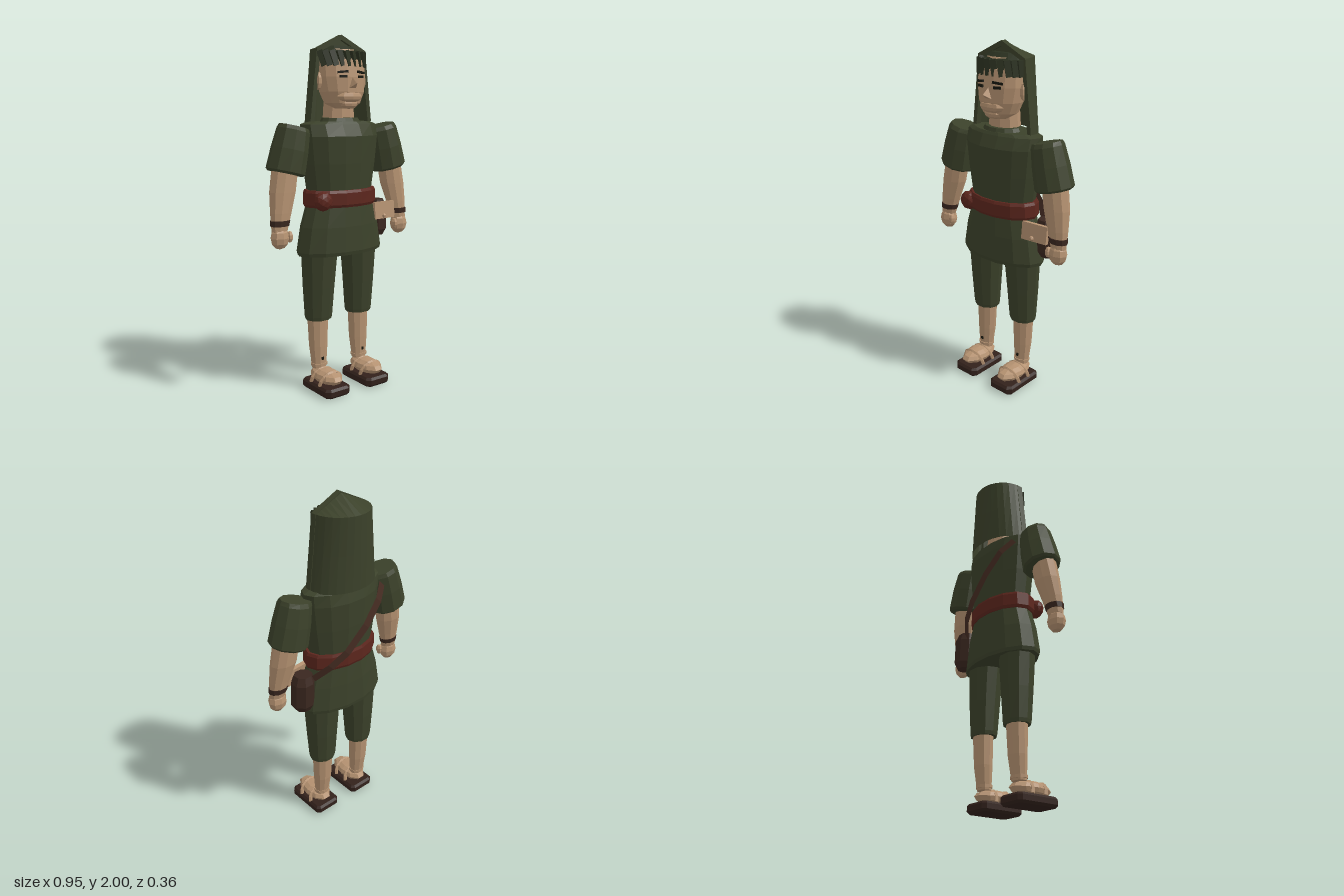
import * as THREE from 'three';

const paint = (name, color, side = THREE.FrontSide) => {
  const m = new THREE.MeshStandardMaterial({ color, side });
  m.name = name;
  return m;
};

export function createModel() {
  const green = paint('cloth green', 0x3b412a, THREE.DoubleSide);
  const hairGreen = paint('dark green', 0x2b3120);
  const skin = paint('skin', 0xb59271);
  const red = paint('sash red', 0x5c261d);
  const leather = paint('dark leather', 0x3a271f);
  const strapBrown = paint('strap brown', 0x452c22, THREE.DoubleSide);
  const soleBrown = paint('sole brown', 0x32211b);
  const black = paint('black', 0x17170f);

  const model = new THREE.Group();
  model.name = 'villager';

  // Faceted mesh: split faces so every facet has its own normal
  function add(name, geo, mat, pos = [0, 0, 0], rot = [0, 0, 0], scale = [1, 1, 1]) {
    const flat = geo.index ? geo.toNonIndexed() : geo;
    flat.computeVertexNormals();
    const mesh = new THREE.Mesh(flat, mat);
    mesh.name = name;
    mesh.position.set(...pos);
    mesh.rotation.set(...rot);
    mesh.scale.set(...scale);
    model.add(mesh);
    return mesh;
  }

  // Surface through rows of points; closed rows wrap around
  function skinRows(rows, closed, caps = false) {
    const n = rows[0].length, pos = rows.flat(2), idx = [];
    const cols = closed ? n : n - 1;
    for (let i = 0; i < rows.length - 1; i++) {
      for (let j = 0; j < cols; j++) {
        const k = (j + 1) % n, a = i * n + j, b = i * n + k, c = b + n, d = a + n;
        idx.push(a, b, c, a, c, d);
      }
    }
    if (caps) {
      const top = (rows.length - 1) * n;
      for (let j = 1; j < n - 1; j++) idx.push(0, j + 1, j, top, top + j, top + j + 1);
    }
    const g = new THREE.BufferGeometry();
    g.setAttribute('position', new THREE.Float32BufferAttribute(pos, 3));
    g.setIndex(idx);
    return g;
  }

  // Oval rings from bottom to top: [y, half width, front z, back z, centre x]
  function loft(rings, n = 12) {
    return skinRows(rings.map(([y, rx, zf, zb, cx = 0]) =>
      Array.from({ length: n }, (_, j) => {
        const t = (j + 0.5) / n * Math.PI * 2;
        return [cx + rx * Math.sin(t) * 1.02, y, (zf + zb) / 2 + (zf - zb) / 2 * Math.cos(t) * 1.02];
      })), true, true);
  }

  // Tunic, collar and sash
  add('tunic', loft([
    [0.79, 0.27, 0.115, -0.162], [0.81, 0.275, 0.12, -0.165], [0.95, 0.25, 0.113, -0.158],
    [1.06, 0.215, 0.103, -0.148], [1.15, 0.205, 0.1, -0.148], [1.3, 0.228, 0.11, -0.158],
    [1.45, 0.245, 0.115, -0.163], [1.515, 0.245, 0.085, -0.148], [1.53, 0.2, 0.075, -0.13],
  ], 14), green);
  add('collar', loft([[1.52, 0.125, 0.078, -0.11], [1.55, 0.108, 0.065, -0.1]], 14), green);
  add('sash', loft([[1.06, 0.222, 0.11, -0.152], [1.075, 0.23, 0.118, -0.158],
    [1.14, 0.228, 0.118, -0.158], [1.155, 0.22, 0.11, -0.152]], 14), red);
  add('sashKnot', new THREE.IcosahedronGeometry(0.055, 1), red, [-0.18, 1.1, 0.075], [0, 0, 0], [1, 1, 0.75]);

  // Neck and head
  add('neck', loft([[1.5, 0.095, 0.045, -0.11], [1.68, 0.085, 0.04, -0.1]], 10), skin);
  add('head', loft([
    [1.6, 0.06, 0.07, -0.04], [1.63, 0.105, 0.088, -0.08], [1.69, 0.132, 0.1, -0.1],
    [1.77, 0.146, 0.1, -0.12], [1.86, 0.143, 0.088, -0.12], [1.92, 0.1, 0.05, -0.09],
  ], 14), skin);
  add('mouth', new THREE.SphereGeometry(1, 8, 6), skin, [0, 1.665, 0.075], [0, 0, 0], [0.085, 0.034, 0.034]);
  add('chin', new THREE.SphereGeometry(1, 8, 6), skin, [0, 1.628, 0.065], [0, 0, 0], [0.06, 0.03, 0.03]);
  add('nose', skinRows([
    [[-0.027, 1.705, 0.09], [0.027, 1.705, 0.09], [0, 1.775, 0.09]],
    [[-0.003, 1.733, 0.138], [0.003, 1.733, 0.138], [0, 1.738, 0.138]],
  ], true, true), skin);

  // Cap of hair with a slanted fringe
  add('hairCap', loft([[1.85, 0.152, 0.082, -0.13], [1.9, 0.148, 0.07, -0.13], [1.94, 0.09, 0.02, -0.09]], 14), hairGreen);
  for (let i = 0; i < 10; i++) {
    const t = (i - 4.5) / 4.5 * 1.25;
    add('fringeLock', new THREE.BoxGeometry(0.034, 0.085, 0.03), hairGreen,
      [0.145 * Math.sin(t), 1.868, -0.025 + 0.1 * Math.cos(t)], [-0.15, t * 0.8 + 0.35, 0.25]);
  }

  // Hood cloth: back curtain, roof rising to a gable, and front border
  const hoodArc = (y, rx, zb) => Array.from({ length: 15 }, (_, j) => {
    const t = j / 14 * Math.PI;
    return [rx * Math.cos(t), y(rx * Math.cos(t)), -0.02 + (zb + 0.02) * Math.sin(t)];
  });
  const rim = hoodArc(() => 1.92, 0.165, -0.182);
  add('hoodCurtain', skinRows([hoodArc(() => 1.52, 0.21, -0.182),
    hoodArc(() => 1.72, 0.187, -0.182), rim], false), green);
  add('hoodRoof', skinRows([rim, hoodArc(x => 2 - Math.abs(x) * 0.485, 0.165, -0.02)], false), green);
  const poly = pts => new THREE.Shape(pts.map(p => new THREE.Vector2(...p)));
  add('hoodBorder', new THREE.ExtrudeGeometry(poly([
    [-0.21, 1.53], [-0.185, 1.53], [-0.142, 1.905], [0, 1.972], [0.142, 1.905], [0.185, 1.53],
    [0.21, 1.53], [0.165, 1.92], [0, 2], [-0.165, 1.92],
  ]), { depth: 0.035, bevelEnabled: false }), green, [0, 0, -0.035]);
  add('hoodGable', new THREE.ShapeGeometry(poly([[-0.15, 1.9], [0.15, 1.9], [0, 1.985]])), green, [0, 0, -0.018]);

  // Paired parts
  for (const s of [-1, 1]) {
    // Face details
    add('eye', new THREE.BoxGeometry(0.042, 0.014, 0.009), black, [s * 0.058, 1.772, 0.096], [0, s * 0.3, 0]);
    add('eyebrow', new THREE.BoxGeometry(0.06, 0.012, 0.009), black, [s * 0.06, 1.796, 0.094], [0, s * 0.3, s * -0.1]);
    add('ear', new THREE.SphereGeometry(1, 6, 5), skin, [s * 0.15, 1.75, -0.015], [0, 0, 0], [0.022, 0.05, 0.03]);

    // Sleeve, forearm, wristband and fist
    add('sleeve', loft([[0, 0.098, 0.065, -0.115], [0.012, 0.109, 0.075, -0.126],
      [0.13, 0.102, 0.072, -0.123], [0.235, 0.092, 0.06, -0.11], [0.257, 0.086, 0.045, -0.098]], 10),
    green, [s * 0.36, 1.255, 0], [0, 0, s * 0.235]);
    add('forearm', loft([[0.95, 0.046, 0.04, -0.025, s * 0.42], [1.05, 0.062, 0.043, -0.045, s * 0.405],
      [1.16, 0.076, 0.043, -0.07, s * 0.385], [1.28, 0.075, 0.04, -0.08, s * 0.365]], 10), skin);
    add('wristband', loft([[0.98, 0.054, 0.046, -0.034, s * 0.417], [1.01, 0.057, 0.048, -0.04, s * 0.412]], 10), leather);
    add('fist', new THREE.SphereGeometry(1, 8, 6), skin, [s * 0.42, 0.915, 0.01], [0, 0, 0], [0.055, 0.062, 0.045]);
    add('thumb', new THREE.SphereGeometry(1, 6, 5), skin, [s * 0.37, 0.92, 0.03], [0, 0, 0], [0.02, 0.032, 0.022]);

    // Trousers with cuff, shin and ankle
    add('trouserLeg', loft([[0.41, 0.077, 0.035, -0.1, s * 0.143], [0.43, 0.081, 0.038, -0.103, s * 0.143],
      [0.6, 0.092, 0.052, -0.113, s * 0.142], [0.8, 0.106, 0.066, -0.12, s * 0.138],
      [0.93, 0.108, 0.066, -0.12, s * 0.13]], 10), green);
    add('shin', loft([[0.12, 0.043, 0.01, -0.06, s * 0.145], [0.25, 0.055, 0.014, -0.08, s * 0.145],
      [0.43, 0.062, 0.016, -0.09, s * 0.145]], 10), skin);
    add('ankleBand', loft([[0.132, 0.05, 0.016, -0.066, s * 0.145], [0.148, 0.05, 0.016, -0.066, s * 0.145]], 10), skin);
    add('ankleStud', new THREE.BoxGeometry(0.012, 0.016, 0.012), black, [s * 0.145, 0.18, 0.012]);

    // Foot and sandal
    add('foot', new THREE.SphereGeometry(1, 10, 6), skin, [s * 0.145, 0.088, 0.047], [0, 0, 0], [0.07, 0.042, 0.128]);
    for (const z of [0.0, 0.085]) {
      add('sandalStrap', new THREE.TorusGeometry(0.07, 0.011, 5, 8, Math.PI), skin,
        [s * 0.145, 0.055, z], [0.25, 0, 0], [1.05, 1.0, 1]);
    }
    const sole = poly([[-0.085, 0.07], [-0.085, -0.155], [-0.06, -0.18], [0.06, -0.18],
      [0.085, -0.155], [0.085, 0.07], [0.065, 0.09], [-0.065, 0.09]]);
    add('sandalSole', new THREE.ExtrudeGeometry(sole, { depth: 0.028, bevelEnabled: true, bevelSegments: 1,
      bevelThickness: 0.013, bevelSize: 0.012, bevelOffset: -0.012 }), soleBrown, [s * 0.143, 0.013, 0], [-Math.PI / 2, 0, 0]);
  }

  // Hip pouch with pale flap and button
  add('pouch', loft([[0.85, 0.045, -0.015, -0.105, 0.3], [0.885, 0.066, 0.005, -0.122, 0.3],
    [1.02, 0.066, 0.005, -0.122, 0.295], [1.065, 0.05, -0.01, -0.105, 0.29]], 8), leather);
  add('pouchFlap', new THREE.BoxGeometry(0.16, 0.1, 0.025), skin, [0.28, 1.01, 0.035], [-0.1, 0.1, 0]);
  add('pouchButton', new THREE.SphereGeometry(0.014, 6, 5), skin, [0.27, 0.978, 0.052]);

  // Strap running diagonally over the back
  const strapPath = [[-0.225, 1.46, -0.115], [-0.16, 1.4, -0.16], [-0.05, 1.29, -0.183],
    [0.08, 1.17, -0.178], [0.17, 1.1, -0.148], [0.25, 1.03, -0.09]];
  add('strap', skinRows([-0.028, 0.028].map(w =>
    strapPath.map(([x, y, z]) => [x + w * 0.68, y + w * 0.73, z]).reverse()), false), strapBrown);

  return model;
}
